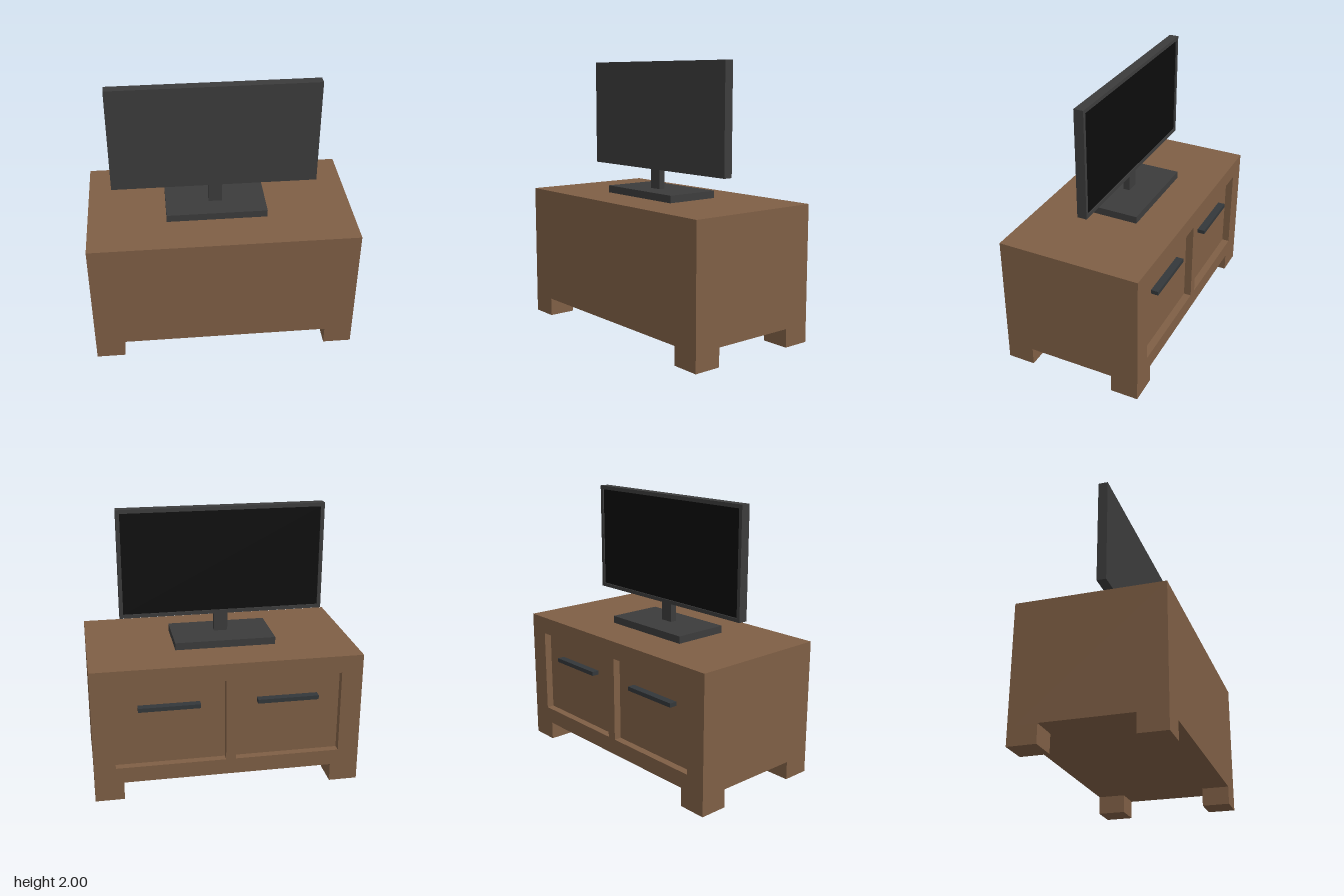
import * as THREE from 'three';

const material = (name, color) => {
  const m = new THREE.MeshStandardMaterial({ color });
  m.name = name;
  return m;
};

// Rectangle given by its edges, as a list of corners
const corners = (x0, x1, y0, y1) => [[x0, y0], [x1, y0], [x1, y1], [x0, y1]]
  .map(([x, y]) => new THREE.Vector2(x, y));

// Frame: outer rectangle with rectangular openings, from z0 to z1
function frameGeometry(outer, openings, z0, z1) {
  const shape = new THREE.Shape(corners(...outer));
  for (const o of openings) shape.holes.push(new THREE.Path(corners(...o).reverse()));
  const g = new THREE.ExtrudeGeometry(shape, { depth: z1 - z0, bevelEnabled: false });
  return g.translate(0, 0, z0);
}

export function createModel() {
  const wood = material('brown wood', 0x7f5f45);
  const plastic = material('charcoal plastic', 0x3c3c3c);
  const glass = material('black screen', 0x0c0c0c);
  const metal = material('dark metal', 0x33373a);

  const model = new THREE.Group();
  model.name = 'televisionOnCabinet';
  const cabinet = new THREE.Group();
  cabinet.name = 'cabinet';
  const television = new THREE.Group();
  television.name = 'television';
  model.add(cabinet, television);

  const add = (parent, name, geometry, mat) => {
    const mesh = new THREE.Mesh(geometry, mat);
    mesh.name = name;
    parent.add(mesh);
    return mesh;
  };
  // Box given by its limits on each axis
  const box = (parent, name, mat, [x0, x1], [y0, y1], [z0, z1]) => {
    const g = new THREE.BoxGeometry(x1 - x0, y1 - y0, z1 - z0);
    g.translate((x0 + x1) / 2, (y0 + y1) / 2, (z0 + z1) / 2);
    return add(parent, name, g, mat);
  };

  // Cabinet body, with a drawer frame on the -z side
  const W = 0.975, D = 0.525, bottom = 0.135, top = 1.003, recess = -0.47;
  box(cabinet, 'cabinetBody', wood, [-W, W], [bottom, top], [recess, D]);
  const openings = [[0.022, 0.82, 0.253, 0.875], [-0.82, -0.05, 0.253, 0.875]];
  add(cabinet, 'drawerFrame', frameGeometry([-W, W, bottom, top], openings, -D, recess), wood);

  // Corner legs
  for (const sx of [-1, 1]) {
    for (const sz of [-1, 1]) {
      const leg = new THREE.BoxGeometry(0.21, bottom, 0.205);
      leg.translate(sx * (W - 0.105), bottom / 2, sz * (D - 0.1025));
      add(cabinet, 'leg', leg, wood);
    }
  }

  // Drawer pulls, hollow underneath
  for (const x of [0.425, -0.432]) {
    const pull = new THREE.Group();
    pull.name = 'drawerPull';
    cabinet.add(pull);
    const x0 = x - 0.222, x1 = x + 0.222, y0 = 0.68, y1 = 0.71, t = 0.012;
    box(pull, 'pullTop', metal, [x0, x1], [y1 - t, y1], [-D, recess]);
    box(pull, 'pullLip', metal, [x0, x1], [y0, y1 - t], [-D, -D + t]);
    box(pull, 'pullEnd', metal, [x0, x0 + t], [y0, y1 - t], [-D + t, recess]);
    box(pull, 'pullEnd', metal, [x1 - t, x1], [y0, y1 - t], [-D + t, recess]);
  }

  // Television stand
  box(television, 'standBase', plastic, [-0.4, 0.34], [top, 1.057], [-0.21, 0.21]);
  box(television, 'standNeck', plastic, [-0.08, 0.02], [1.057, 1.2], [0, 0.05]);

  // Television housing, bezel and sunken screen facing -z
  const x0 = -0.79, x1 = 0.72, y0 = 1.2, y1 = 2, b = 0.027;
  box(television, 'housing', plastic, [x0, x1], [y0, y1], [-0.008, 0.05]);
  const inner = [x0 + b, x1 - b, y0 + b, y1 - b];
  add(television, 'bezel', frameGeometry([x0, x1, y0, y1], [inner], -0.02, -0.008), plastic);
  box(television, 'screen', glass, [inner[0], inner[1]], [inner[2], inner[3]], [-0.011, -0.007]);

  return model;
}
